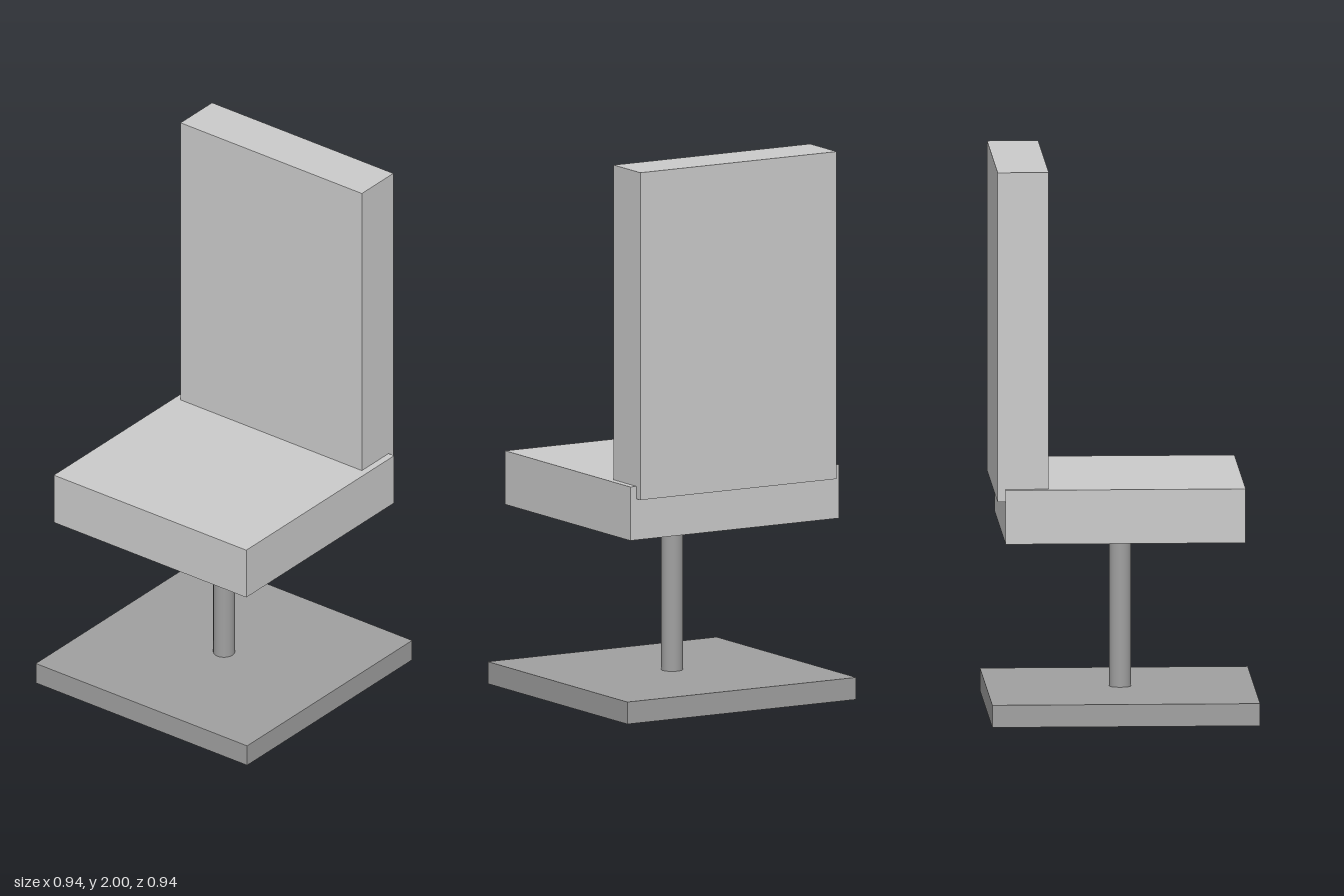
import * as THREE from 'three';

const cushion = new THREE.MeshStandardMaterial({ color: 0xcccccc });
const frame = new THREE.MeshStandardMaterial({ color: 0xa0a0a0 });

// Box given by its lower and upper corners
function slab(name, [x0, y0, z0], [x1, y1, z1], material) {
  const mesh = new THREE.Mesh(new THREE.BoxGeometry(x1 - x0, y1 - y0, z1 - z0), material);
  mesh.position.set((x0 + x1) / 2, (y0 + y1) / 2, (z0 + z1) / 2);
  mesh.name = name;
  return mesh;
}

export function createModel() {
  const chair = new THREE.Group();
  chair.name = 'chair';

  // Square floor plate
  chair.add(slab('basePlate', [-0.472, 0.037, -0.472], [0.472, 0.116, 0.472], frame));

  // Post, passing through the plate down to the floor and up into the seat
  const postTop = 0.7;
  const post = new THREE.Mesh(new THREE.CylinderGeometry(0.038, 0.038, postTop, 32), frame);
  post.position.y = postTop / 2;
  post.name = 'post';
  chair.add(post);

  // Seat, and a backrest that overhangs its rear edge
  chair.add(slab('seat', [-0.43, 0.682, -0.423], [0.43, 0.874, 0.423], cushion));
  chair.add(slab('backrest', [-0.405, 0.829, -0.45], [0.405, 2, -0.27], cushion));

  return chair;
}
